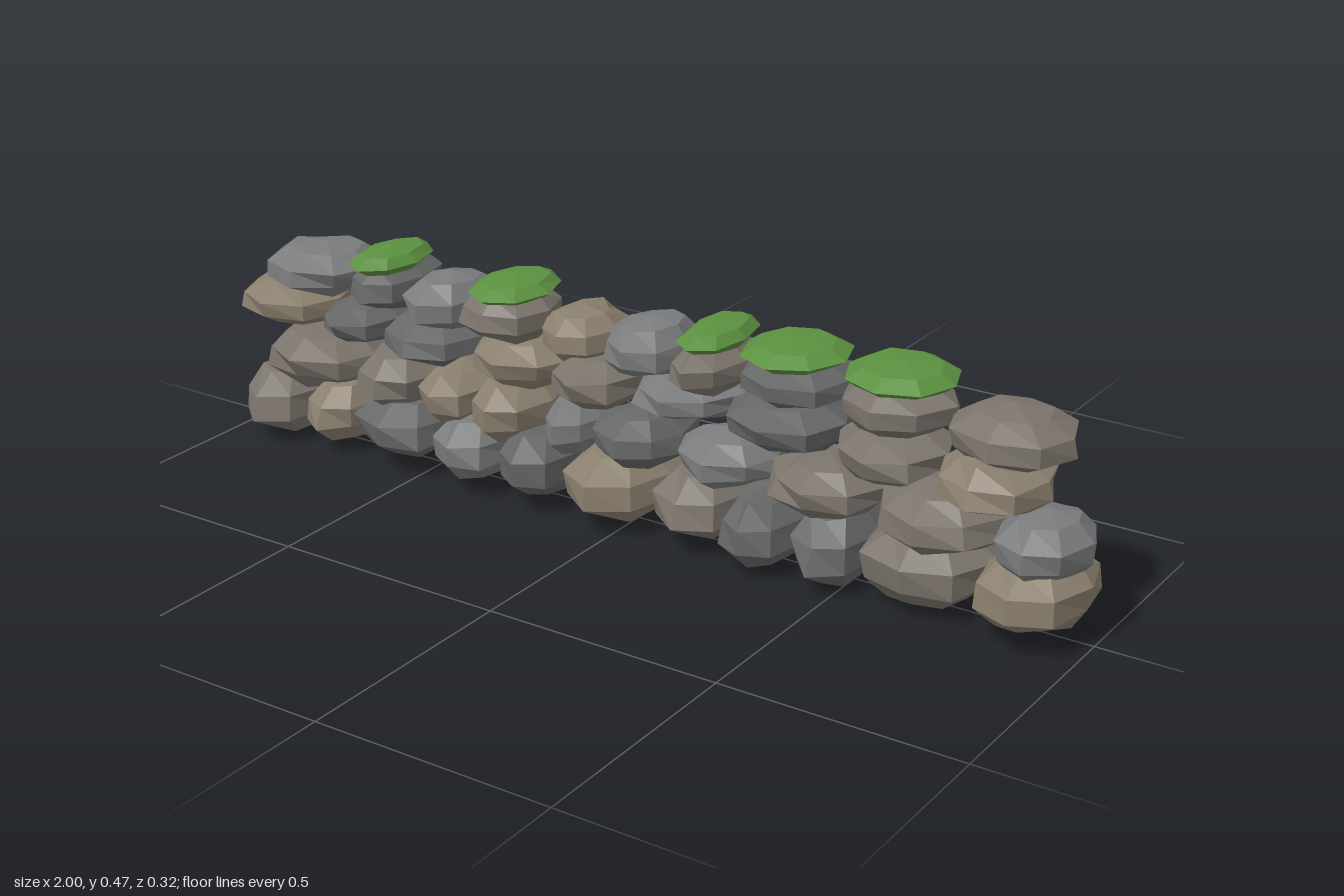
import * as THREE from 'three';

const palette = { d: 0x656666, g: 0x7a7b7c, b: 0x7b746c, t: 0x8a7f6e };

// joints are the x positions between neighbouring stones; one tone letter per stone
const courses = [
  { name: 'baseStone', bottom: 0.02, top: 0.178, depth: 0.145, tones: 'btdgdtbddbt',
    joints: [-0.98, -0.81, -0.655, -0.46, -0.29, -0.14, 0.075, 0.25, 0.395, 0.54, 0.79, 0.99] },
  { name: 'lowerStone', bottom: 0.138, top: 0.267, depth: 0.13, tones: 'bbttgdgbbg',
    joints: [-0.93, -0.68, -0.5, -0.355, -0.205, -0.08, 0.115, 0.325, 0.565, 0.815, 0.985] },
  { name: 'middleStone', bottom: 0.25, top: 0.362, depth: 0.133, tones: 'tddtbgdbt',
    joints: [-0.995, -0.77, -0.605, -0.39, -0.16, 0.01, 0.235, 0.47, 0.685, 0.9] },
  { name: 'topStone', bottom: 0.338, top: 0.448, depth: 0.122, tones: 'gdgbtgbdbb', mossy: [1, 3, 6, 7, 8],
    joints: [-0.93, -0.69, -0.55, -0.39, -0.21, -0.05, 0.12, 0.25, 0.47, 0.7, 0.935] },
];

function seeded(seed) {
  return () => {
    seed = (seed * 16807) % 2147483647;
    return seed / 2147483647;
  };
}

// a faceted boulder, roughened and then sized to the space it fills
function boulder(low, high, rings, rough, rand) {
  const geo = new THREE.SphereGeometry(1, 8, rings);
  const pos = geo.attributes.position;
  const moved = new Map(); // coincident corners move together
  const v = new THREE.Vector3();
  for (let i = 0; i < pos.count; i++) {
    v.fromBufferAttribute(pos, i);
    const key = v.toArray().map((n) => Math.round(n * 1000) + 0).join();
    if (!moved.has(key)) moved.set(key, 1 + (rand() - 0.5) * rough);
    v.multiplyScalar(moved.get(key));
    pos.setXYZ(i, v.x, v.y, v.z);
  }
  geo.computeBoundingBox();
  const { min, max } = geo.boundingBox;
  const size = high.clone().sub(low).divide(max.clone().sub(min));
  geo.translate(-min.x, -min.y, -min.z);
  geo.scale(size.x, size.y, size.z);
  geo.translate(low.x, low.y, low.z);
  geo.computeVertexNormals();
  return geo;
}

export function createModel() {
  const wall = new THREE.Group();
  wall.name = 'dryStoneWall';
  const rand = seeded(4271);
  const vary = (amount) => (rand() - 0.5) * 2 * amount;
  const materials = {};
  for (const [tone, color] of Object.entries(palette)) {
    materials[tone] = new THREE.MeshStandardMaterial({ color, flatShading: true });
  }
  const mossMaterial = new THREE.MeshStandardMaterial({ color: 0x5c9140, flatShading: true });

  for (const { name, bottom, top, depth, tones, joints, mossy = [] } of courses) {
    const course = new THREE.Group();
    course.name = name + 'Course';
    [...tones].forEach((tone, i) => {
      // neighbouring stones press slightly into each other
      const x0 = joints[i] - 0.006;
      const x1 = joints[i + 1] + 0.006;
      const low = new THREE.Vector3(x0, bottom + vary(0.012), -depth * (0.98 + vary(0.14)));
      const high = new THREE.Vector3(x1, top + vary(0.008), depth * (0.98 + vary(0.14)));
      const stone = new THREE.Mesh(boulder(low, high, 5, 0.2, rand), materials[tone]);
      stone.name = name + (i + 1);
      course.add(stone);

      // flat moss cushion on top of the stone
      if (mossy.includes(i)) {
        const mossLow = new THREE.Vector3(x0 + 0.01, 0.422, -0.118 + vary(0.004));
        const mossHigh = new THREE.Vector3(x1 - 0.01, 0.476 + vary(0.004), 0.118 + vary(0.004));
        const moss = new THREE.Mesh(boulder(mossLow, mossHigh, 4, 0.1, rand), mossMaterial);
        moss.name = 'mossCap' + (i + 1);
        course.add(moss);
      }
    });
    wall.add(course);
  }
  return wall;
}
